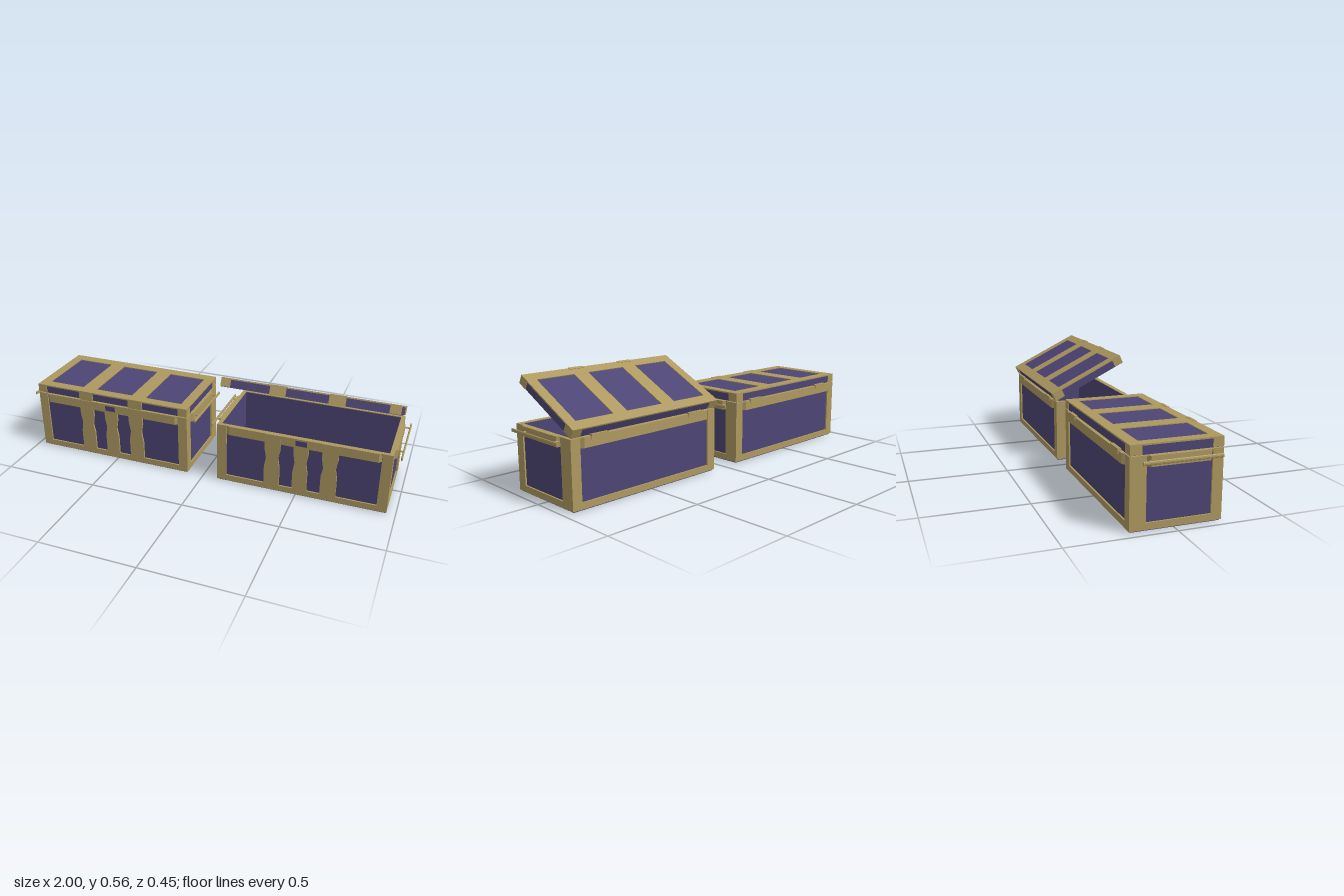
import * as THREE from 'three';

const gold = new THREE.MeshStandardMaterial({ color: 0xad985f, flatShading: true });
const purple = new THREE.MeshStandardMaterial({ color: 0x4d4474, flatShading: true });

const HW = 0.4375, ZB = -0.205, ZF = 0.22, TOP = 0.327; // body extents
const LEN = ZF - ZB, THICK = 0.048;                     // lid depth and thickness

function add(parent, name, geometry, material) {
  const mesh = new THREE.Mesh(geometry, material);
  mesh.name = name;
  parent.add(mesh);
  return mesh;
}

// Box given by its two extreme corners
function box(parent, name, material, x0, x1, y0, y1, z0, z1) {
  const mesh = add(parent, name, new THREE.BoxGeometry(x1 - x0, y1 - y0, z1 - z0), material);
  mesh.position.set((x0 + x1) / 2, (y0 + y1) / 2, (z0 + z1) / 2);
  return mesh;
}

// Rim bar with chamfered ends, running along x and bulging towards +z
function rimBar(parent, name, length, depth) {
  const h = length / 2;
  const shape = new THREE.Shape([[-h, 0], [h, 0], [h - 0.015, -depth], [-h + 0.015, -depth]]
    .map(p => new THREE.Vector2(...p)));
  const geometry = new THREE.ExtrudeGeometry(shape, { depth: TOP - 0.28, bevelEnabled: false });
  geometry.rotateX(-Math.PI / 2);
  return add(parent, name, geometry, gold);
}

// Front strap with a pinched waist
function strap(parent, x, width, top) {
  const w = width / 2;
  const side = [[w, 0.037], [w, 0.14], [w * 0.88, 0.165], [w * 0.78, 0.19], [w * 0.88, 0.215], [w, 0.24], [w, top]];
  const outline = [...side, ...side.slice().reverse().map(([a, b]) => [-a, b])];
  const shape = new THREE.Shape(outline.map(p => new THREE.Vector2(...p)));
  const mesh = add(parent, 'frontStrap', new THREE.ExtrudeGeometry(shape, { depth: 0.012, bevelEnabled: false }), gold);
  mesh.position.set(x, 0, ZF - 0.01);
}

function makeBody() {
  const body = new THREE.Group();
  body.name = 'chestBody';
  const R = 0.008, T = 0.02; // panel recess and total wall thickness

  // Base and hollow inner walls
  box(body, 'basePlate', purple, -HW + 0.008, HW - 0.008, 0, 0.014, ZB + 0.007, ZF - 0.007);
  box(body, 'frontPanel', purple, -HW + R, HW - R, 0.006, TOP - 0.003, ZF - T, ZF - R);
  box(body, 'backPanel', purple, -HW + R, HW - R, 0.006, TOP - 0.003, ZB + R, ZB + T);
  for (const s of [-1, 1]) {
    const xs = [s * (HW - T), s * (HW - R)].sort((a, b) => a - b);
    box(body, 'sidePanel', purple, ...xs, 0.006, TOP - 0.003, ZB + R, ZF - R);
  }

  // Gold edging: bottom rails, top rim and angle-shaped corner posts
  for (const [z0, z1, t0, t1] of [[ZF - 0.009, ZF, ZF - T, ZF], [ZB, ZB + 0.009, ZB, ZB + T]]) {
    box(body, 'bottomRail', gold, -HW, HW, 0.006, 0.037, z0, z1);
    box(body, 'topRim', gold, -HW, HW, TOP - 0.004, TOP, t0, t1);
  }
  for (const s of [-1, 1]) {
    const span = d => (s > 0 ? [HW - d, HW] : [-HW, -HW + d]);
    box(body, 'bottomRail', gold, ...span(0.009), 0.006, 0.037, ZB, ZF);
    box(body, 'topRim', gold, ...span(T), TOP - 0.004, TOP, ZB, ZF);
    box(body, 'cornerPost', gold, ...span(0.009), 0.006, TOP, 0.17, ZF);
    box(body, 'cornerPost', gold, ...span(0.009), 0.006, TOP, ZB, -0.13);
    box(body, 'cornerPost', gold, ...span(0.05), 0.006, TOP, ZF - 0.009, ZF);
    box(body, 'cornerPost', gold, ...span(0.05), 0.006, TOP, ZB, ZB + 0.009);
  }

  // Raised bars below the rim on all four sides
  const front = rimBar(body, 'frontRimBar', 0.775, 0.015);
  front.position.set(0, 0.28, ZF - 0.01);
  const back = rimBar(body, 'backRimBar', 0.775, 0.018);
  back.rotation.y = Math.PI;
  back.position.set(0, 0.28, ZB + 0.009);
  for (const s of [-1, 1]) {
    const side = rimBar(body, 'sideRimBar', 0.3, 0.02);
    side.rotation.y = s * Math.PI / 2;
    side.position.set(s * (HW - 0.009), 0.28, 0.02);
  }

  // Straps and latch
  for (const s of [-1, 1]) {
    strap(body, s * 0.145, 0.08, TOP);
    box(body, 'strapCap', gold, s * 0.145 - 0.04, s * 0.145 + 0.04, 0.278, TOP, ZF - 0.005, ZF + 0.007);
  }
  strap(body, 0, 0.075, 0.28);
  box(body, 'latchPlate', gold, -0.065, 0.065, 0.28, TOP, ZF - 0.005, ZF + 0.006);
  box(body, 'latchInset', purple, -0.028, 0.028, 0.29, 0.318, ZF, ZF + 0.0075);

  // Carrying handles and hinges
  for (const s of [-1, 1]) {
    const bar = add(body, 'handleBar', new THREE.CylinderGeometry(0.009, 0.009, 0.36, 8), gold);
    bar.rotation.x = Math.PI / 2;
    bar.scale.x = 0.5;
    bar.position.set(s * 0.473, 0.305, 0.02);
    for (const z of [-0.12, 0.125]) {
      const post = add(body, 'handlePost', new THREE.CylinderGeometry(0.004, 0.004, 0.04, 8), gold);
      post.rotation.z = Math.PI / 2;
      post.position.set(s * 0.455, 0.305, z);
    }
    box(body, 'hinge', gold, s * 0.29 - 0.045, s * 0.29 + 0.045, 0.312, 0.335, ZB - 0.012, ZB + 0.004);
  }
  return body;
}

// Lid, with its origin on the hinge line at the lower back edge
function makeLid() {
  const lid = new THREE.Group();
  lid.name = 'chestLid';
  const R = 0.004;

  // Purple shell, open below, with a gold lining
  box(lid, 'lidPanel', purple, -HW + R, HW - R, 0.02, THICK - R, R, LEN - R);
  box(lid, 'lidLining', gold, -HW + 0.012, HW - 0.012, 0.006, 0.021, 0.012, LEN - 0.012);
  box(lid, 'lidFrontWall', purple, -HW + R, HW - R, 0.001, 0.03, LEN - 0.014, LEN - R);
  box(lid, 'lidBackWall', purple, -HW + R, HW - R, 0.001, 0.03, R, 0.014);

  // Top frame and cross bands
  box(lid, 'lidFrame', gold, -HW, HW, THICK - 0.007, THICK, 0, 0.055);
  box(lid, 'lidFrame', gold, -HW, HW, THICK - 0.007, THICK, LEN - 0.05, LEN);
  for (const s of [-1, 1]) {
    const span = d => (s > 0 ? [HW - d, HW] : [-HW, -HW + d]);
    const wall = [s * (HW - 0.014), s * (HW - R)].sort((a, b) => a - b);
    box(lid, 'lidSideWall', purple, ...wall, 0.001, 0.03, R, LEN - R);
    box(lid, 'lidFrame', gold, ...span(0.05), THICK - 0.007, THICK, 0, LEN);
    const x = s * 0.145;
    box(lid, 'lidBand', gold, x - 0.04, x + 0.04, THICK - 0.007, THICK, 0.05, LEN - 0.04);
    box(lid, 'lidClip', gold, x - 0.04, x + 0.04, -0.002, THICK + 0.002, LEN - 0.012, LEN + 0.003);
    // Corner caps
    for (const [z0, z1, e0, e1] of [[0, 0.055, 0, 0.012], [LEN - 0.05, LEN, LEN - 0.012, LEN]]) {
      box(lid, 'lidCorner', gold, ...span(0.012), 0.003, THICK, z0, z1);
      box(lid, 'lidCorner', gold, ...span(0.05), 0.003, THICK, e0, e1);
    }
  }
  lid.position.set(0, TOP + 0.002, ZB);
  return lid;
}

export function createModel() {
  const model = new THREE.Group();
  model.name = 'chestPair';
  for (const [name, x, angle] of [['closedChest', -0.5225, 0], ['openChest', 0.5185, 0.459]]) {
    const chest = new THREE.Group();
    chest.name = name;
    const lid = makeLid();
    lid.rotation.x = -angle;
    chest.add(makeBody(), lid);
    chest.position.x = x;
    model.add(chest);
  }
  return model;
}
